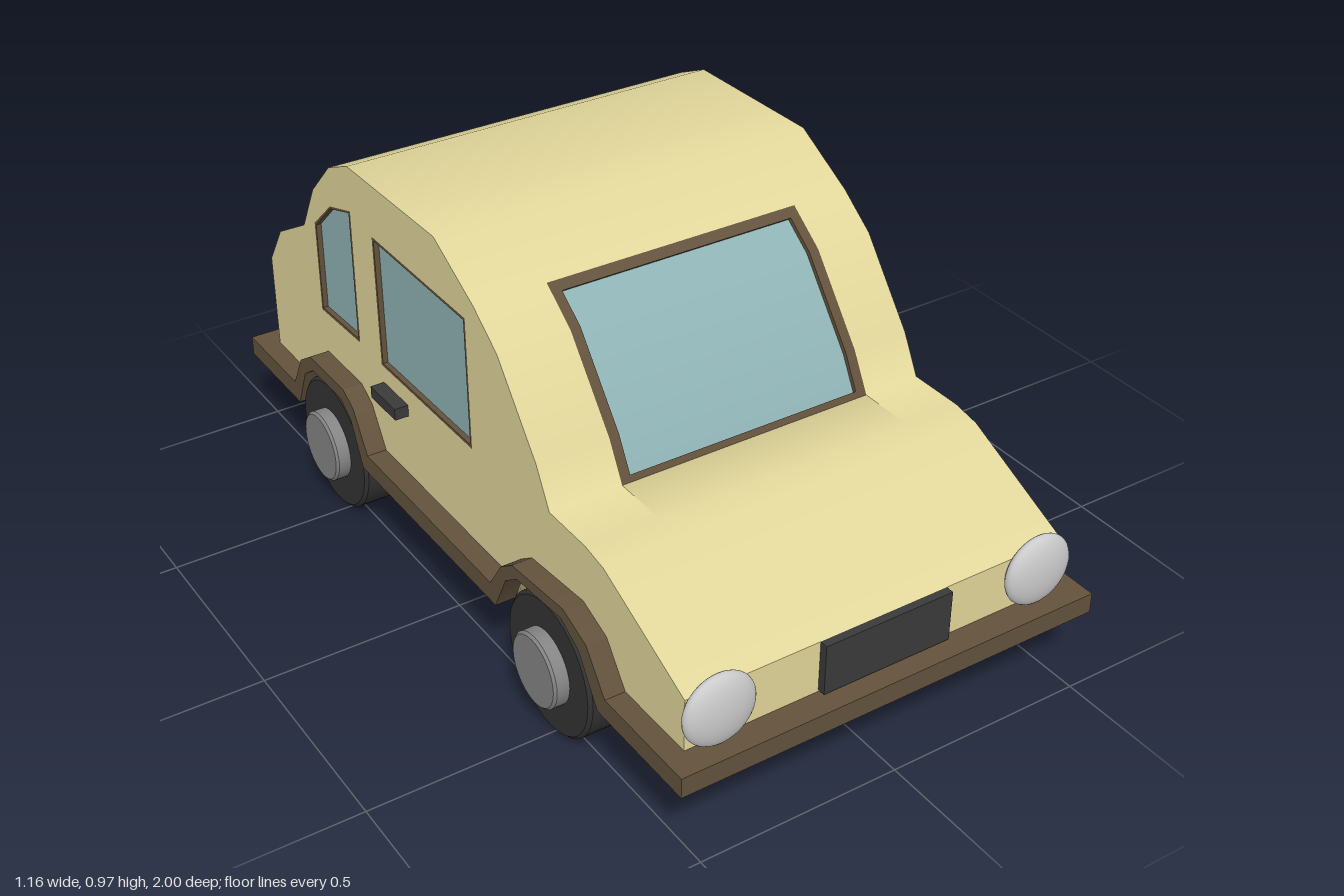
import * as THREE from 'three';
import { toCreasedNormals } from 'three/addons/utils/BufferGeometryUtils.js';

const mat = (color) => new THREE.MeshStandardMaterial({ color });
const PAINT = mat(0xe1d69a), TRIM = mat(0x63523c), GLASS = mat(0x8fb3b5), RUBBER = mat(0x333333);
const HUB = mat(0x858585), LAMP = mat(0xc4c4c4), DARK = mat(0x3a3a3a);

const LEFT = 0.48, RIGHT = -0.5; // body flanks
const toPath = (pts) => pts.map(([z, y]) => new THREE.Vector2(z, y));

// Smooth normals below the crease angle, counting each flat facet once
function smoothFacets(source, crease) {
  const g = source.index ? source.toNonIndexed() : source;
  const p = g.attributes.position, facets = new Map(), normals = [];
  g.computeVertexNormals();
  const at = (attr, i) => new THREE.Vector3().fromBufferAttribute(attr, i);
  const key = (i) => at(p, i).toArray().map((v) => Math.round(v * 1e4)).join();
  for (let i = 0; i < p.count; i++) {
    const n = at(g.attributes.normal, i), list = facets.get(key(i)) ?? [];
    if (!list.some((m) => m.dot(n) > 0.9999)) list.push(n);
    facets.set(key(i), list);
  }
  for (let i = 0; i < p.count; i++) {
    const n = at(g.attributes.normal, i), sum = new THREE.Vector3();
    facets.get(key(i)).forEach((m) => { if (m.dot(n) > Math.cos(crease)) sum.add(m); });
    normals.push(...sum.normalize().toArray());
  }
  g.setAttribute('normal', new THREE.Float32BufferAttribute(normals, 3));
  return g;
}

export function createModel() {
  const car = new THREE.Group();
  car.name = 'car';

  const add = (name, geometry, material, x = 0, y = 0, z = 0) => {
    const mesh = new THREE.Mesh(geometry, material);
    mesh.name = name;
    mesh.position.set(x, y, z);
    car.add(mesh);
    return mesh;
  };
  // Side outline of [z, y] points, extruded from x0 to x1
  const slab = (name, pts, x0, x1, material, holes = []) => {
    const shape = new THREE.Shape(toPath(pts));
    holes.forEach((h) => shape.holes.push(new THREE.Path(toPath(h))));
    const g = new THREE.ExtrudeGeometry(shape, { depth: x1 - x0, bevelEnabled: false });
    g.rotateY(-Math.PI / 2).translate(x1, 0, 0);
    return add(name, smoothFacets(g, material === PAINT ? 1.1 : 0.5), material);
  };
  const box = (name, x0, x1, y0, y1, z0, z1, material) => add(name,
    new THREE.BoxGeometry(x1 - x0, y1 - y0, z1 - z0), material, (x0 + x1) / 2, (y0 + y1) / 2, (z0 + z1) / 2);

  // Body outline, front to back over the roof, then wheel arches back to front
  const floor = 0.203;
  const hood = [[0.935, floor], [0.935, 0.38], [0.64, 0.515], [0.57, 0.527]];
  const screen = [[0.43, 0.527], [0.38, 0.62], [0.23, 0.81], [0.135, 0.88]];
  const tail = [[-0.03, 0.97], [-0.44, 0.965], [-0.54, 0.92], [-0.64, 0.82], [-0.71, 0.695],
    [-0.86, 0.61], [-0.935, 0.5], [-0.935, floor]];
  const archInner = [[-0.72, 0.2], [-0.67, 0.31], [-0.62, 0.345], [-0.47, 0.345], [-0.42, 0.31], [-0.37, 0.2],
    [0.27, 0.2], [0.32, 0.3], [0.37, 0.335], [0.55, 0.35], [0.62, 0.31], [0.69, 0.2]];
  const archOuter = [[0.72, 0.25], [0.65, 0.345], [0.56, 0.38], [0.35, 0.36], [0.3, 0.325], [0.25, 0.25],
    [-0.34, 0.25], [-0.4, 0.35], [-0.45, 0.38], [-0.63, 0.38], [-0.69, 0.34], [-0.74, 0.25]];
  const underside = archInner.map(([z, y]) => [z, Math.max(y, floor)]);
  const outline = [...hood, ...screen, ...tail, ...underside];

  // Flanks with window openings, solid layers behind, recessed middle for the windscreen
  const windows = [
    [[0.1, 0.5], [0.095, 0.83], [-0.335, 0.832], [-0.33, 0.495]],
    [[-0.44, 0.5], [-0.44, 0.85], [-0.55, 0.815], [-0.645, 0.73], [-0.645, 0.492]],
  ];
  const sx0 = -0.32, sx1 = 0.335, recess = 0.02;
  const sunk = (t) => screen.map(([z, y]) => [z - 0.015 * t, y - 0.013 * t]);
  const deep = sunk(1);
  slab('rightFlank', outline, RIGHT, RIGHT + recess, PAINT, windows);
  slab('rightBody', outline, RIGHT + recess, sx0, PAINT);
  slab('middleBody', [...hood, screen[0], ...deep, screen[3], ...tail, ...underside], sx0, sx1, PAINT);
  slab('leftBody', outline, sx1, LEFT - recess, PAINT);
  slab('leftFlank', outline, LEFT - recess, LEFT, PAINT, windows);

  // Windscreen glass and frame
  const band = (a, b) => [...a, ...[...b].reverse()];
  const mix = (a, b, t) => [a[0] + (b[0] - a[0]) * t, a[1] + (b[1] - a[1]) * t];
  slab('windscreen', band(sunk(0.6), deep), sx0 + 0.02, sx1 - 0.02, GLASS);
  slab('screenFrameRight', band(screen, deep), sx0, sx0 + 0.025, TRIM);
  slab('screenFrameLeft', band(screen, deep), sx1 - 0.025, sx1, TRIM);
  for (const [name, i, j, t] of [['screenFrameBottom', 0, 1, 0.15], ['screenFrameTop', 3, 2, 0.23]]) {
    slab(name, band([screen[i], mix(screen[i], screen[j], t)], [deep[i], mix(deep[i], deep[j], t)]),
      sx0 + 0.025, sx1 - 0.025, TRIM);
  }

  // Side windows, handles and running boards that sweep over the arches
  const board = [[1, 0.2], [1, 0.25], ...archOuter, [-1, 0.25], [-1, 0.2], ...archInner];
  for (const [side, s, x] of [['left', 1, LEFT], ['right', -1, RIGHT]]) {
    const span = (a, b) => [Math.min(x + s * a, x + s * b), Math.max(x + s * a, x + s * b)];
    windows.forEach((pts, i) => {
      const cz = i ? -0.55 : -0.117, cy = 0.665;
      const kz = i ? 0.92 : 0.965, ky = 0.957;
      const inner = pts.map(([z, y]) => [cz + (z - cz) * kz, cy + (y - cy) * ky]);
      const label = side + (i ? 'Rear' : 'Front');
      slab(label + 'WindowFrame', pts, ...span(-recess, 0), TRIM, [inner]);
      slab(label + 'Window', inner, ...span(-recess, -0.013), GLASS);
    });
    box(side + 'DoorHandle', ...span(0, 0.035), 0.42, 0.45, -0.325, -0.205, DARK);
    slab(side + 'RunningBoard', board, ...span(0, 0.05), TRIM);
  }

  // Bumpers and grille
  box('frontBumper', RIGHT, LEFT, 0.2, 0.25, 0.935, 1, TRIM);
  box('rearBumper', RIGHT, LEFT, 0.2, 0.25, -1, -0.935, TRIM);
  box('grille', -0.168, 0.162, 0.255, 0.38, 0.92, 0.955, DARK);

  // Headlights
  for (const x of [-0.428, 0.404]) {
    add('headlight', new THREE.SphereGeometry(0.088, 32, 20), LAMP, x, 0.337, 0.95).scale.z = 0.34;
  }

  // Wheels: lathed about their axle, with hubs outside
  const turned = (r, w, bevel) => toCreasedNormals(new THREE.LatheGeometry(toPath([[0, -w / 2], [r - bevel, -w / 2],
    [r, -w / 2 + bevel], [r, w / 2 - bevel], [r - bevel, w / 2], [0, w / 2]]), 40), 0.6).rotateZ(Math.PI / 2);
  const tyre = turned(0.17, 0.152, 0.008), hub = turned(0.09, 0.06, 0.006);
  for (const [end, z] of [['front', 0.48], ['rear', -0.545]]) {
    for (const s of [1, -1]) {
      add(end + 'Tyre', tyre, RUBBER, s * 0.467, 0.172, z);
      add(end + 'Hub', hub, HUB, s * 0.55, 0.173, z);
    }
    add(end + 'Axle', new THREE.CylinderGeometry(0.03, 0.03, 0.8, 24).rotateZ(Math.PI / 2), RUBBER, 0, 0.203, z);
  }
  return car;
}
